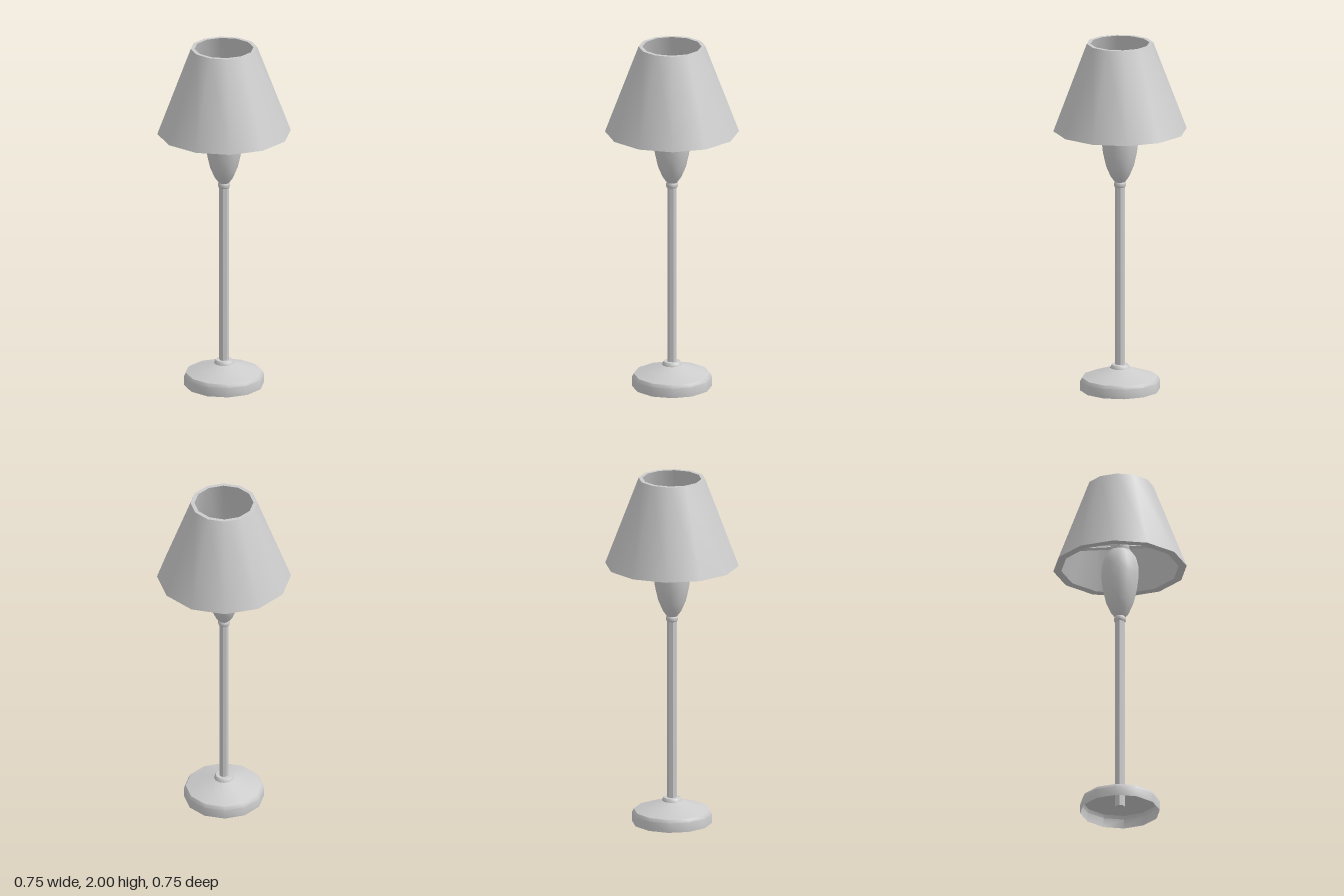
import * as THREE from 'three';
import { toCreasedNormals } from 'three/addons/utils/BufferGeometryUtils.js';

const SIDES = 12;

export function createModel() {
  const lamp = new THREE.Group();
  lamp.name = 'tableLamp';

  const grey = new THREE.MeshStandardMaterial({ color: 0xcccccc, side: THREE.DoubleSide });
  grey.name = 'plain grey';

  const add = (name, geometry) => {
    const mesh = new THREE.Mesh(geometry, grey);
    mesh.name = name;
    lamp.add(mesh);
    return mesh;
  };

  // Turned part from a bottom-to-top profile of [radius, height]
  const turned = (name, profile, sides = SIDES) => {
    const points = profile.map(([r, y]) => new THREE.Vector2(r, y));
    return add(name, toCreasedNormals(new THREE.LatheGeometry(points, sides), 0.65));
  };

  // Hollow foot, open underneath, with a collar around the pole
  turned('base', [
    [0.224, 0], [0.224, 0.055], [0.214, 0.073], [0.135, 0.1], [0.056, 0.126],
  ]);
  turned('baseCollar', [[0.056, 0.126], [0.053, 0.136], [0.046, 0.146], [0, 0.146]]);

  // Slim faceted pole, ending inside the foot
  const pole = new THREE.CylinderGeometry(0.027, 0.027, 1.15, 8);
  add('pole', toCreasedNormals(pole, 0.3)).position.y = 0.605;

  // Collar and bulging holder on top of the pole
  turned('holderCollar', [
    [0, 1.17], [0.03, 1.17], [0.034, 1.178], [0.034, 1.192], [0.03, 1.2],
  ]);
  turned('holder', [
    [0.03, 1.2], [0.052, 1.23], [0.078, 1.29], [0.096, 1.37],
    [0.105, 1.45], [0.103, 1.51], [0.09, 1.565], [0.066, 1.6], [0.05, 1.605],
  ]);

  // Hub carrying the shade
  turned('hub', [
    [0.05, 1.605], [0.054, 1.615], [0.054, 1.645], [0.043, 1.66], [0, 1.66],
  ]);

  // Four bars from the hub to the inside of the shade
  for (let i = 0; i < 4; i++) {
    const bar = new THREE.CylinderGeometry(0.011, 0.011, 0.25, 4);
    bar.rotateZ(Math.PI / 2).translate(0.165, 1.63, 0).rotateY((i * Math.PI) / 2);
    add('shadeBar' + (i + 1), toCreasedNormals(bar, 0.3));
  }

  // Thick tapered shade, open at both ends
  turned('shade', [
    [0.375, 1.5], [0.187, 2], [0.165, 2], [0.33, 1.5], [0.375, 1.5],
  ]);

  return lamp;
}
